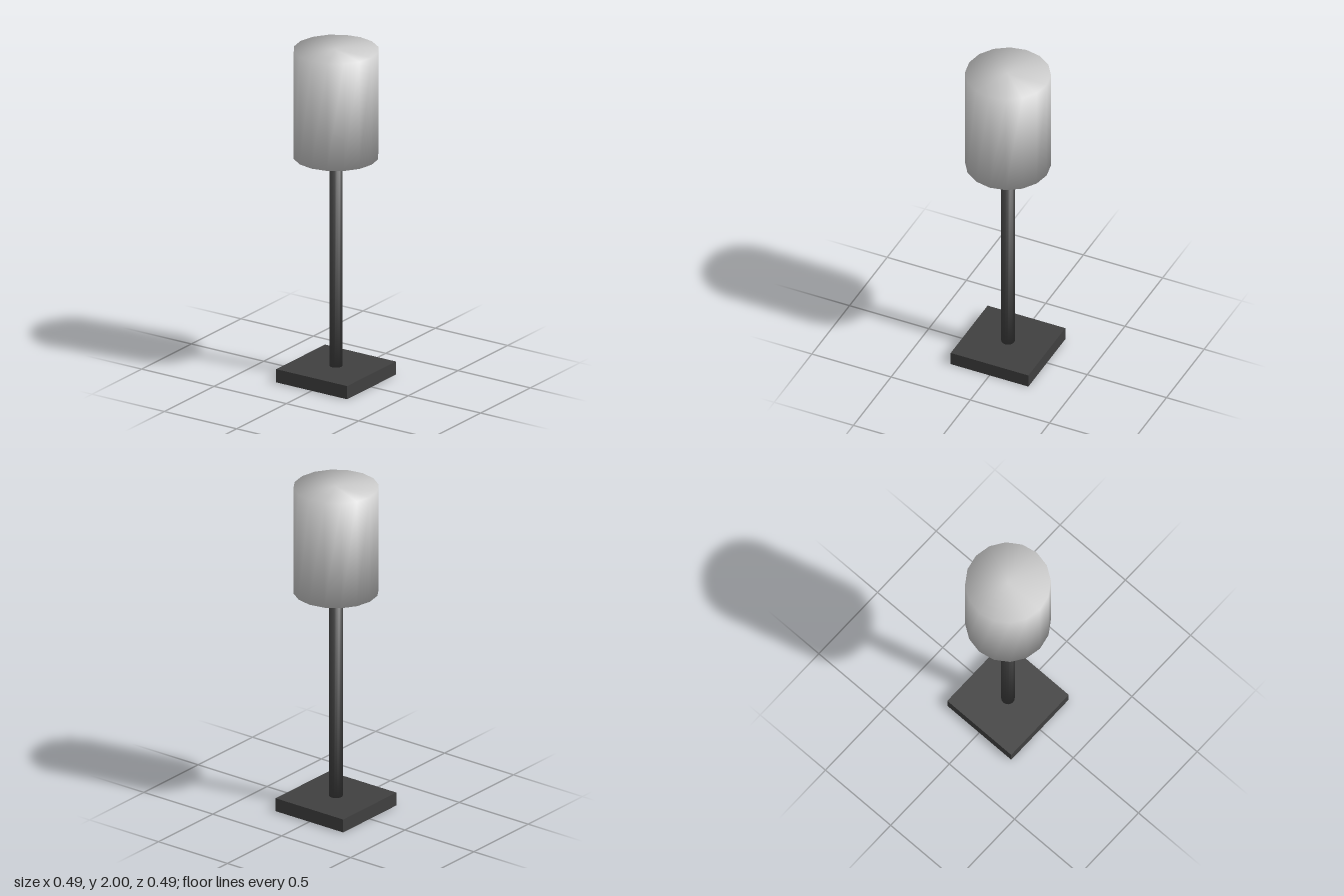
import * as THREE from 'three';

// Closed cylinder whose normals blend softly across the rims
function softCylinder(name, radius, bottom, top, material) {
  const geo = new THREE.CylinderGeometry(radius, radius, top - bottom, 16);
  const pos = geo.attributes.position;
  const side = 0.753, up = 0.659;
  for (let i = 0; i < pos.count; i++) {
    geo.attributes.normal.setXYZ(
      i,
      (pos.getX(i) / radius) * side,
      Math.sign(pos.getY(i)) * up,
      (pos.getZ(i) / radius) * side
    );
  }
  const mesh = new THREE.Mesh(geo, material);
  mesh.name = name;
  mesh.position.y = (bottom + top) / 2;
  return mesh;
}

export function createModel() {
  const lamp = new THREE.Group();
  lamp.name = 'floorLamp';
  const dark = new THREE.MeshStandardMaterial({ color: 0x404040 });
  const grey = new THREE.MeshStandardMaterial({ color: 0xcccccc });

  // Square foot plate
  const base = new THREE.Mesh(new THREE.BoxGeometry(0.49, 0.08, 0.49), dark);
  base.name = 'base';
  base.position.y = 0.04;

  // Pole and drum shade
  lamp.add(
    base,
    softCylinder('pole', 0.039, 0.08, 1.35, dark),
    softCylinder('shade', 0.245, 1.35, 2, grey)
  );
  return lamp;
}
